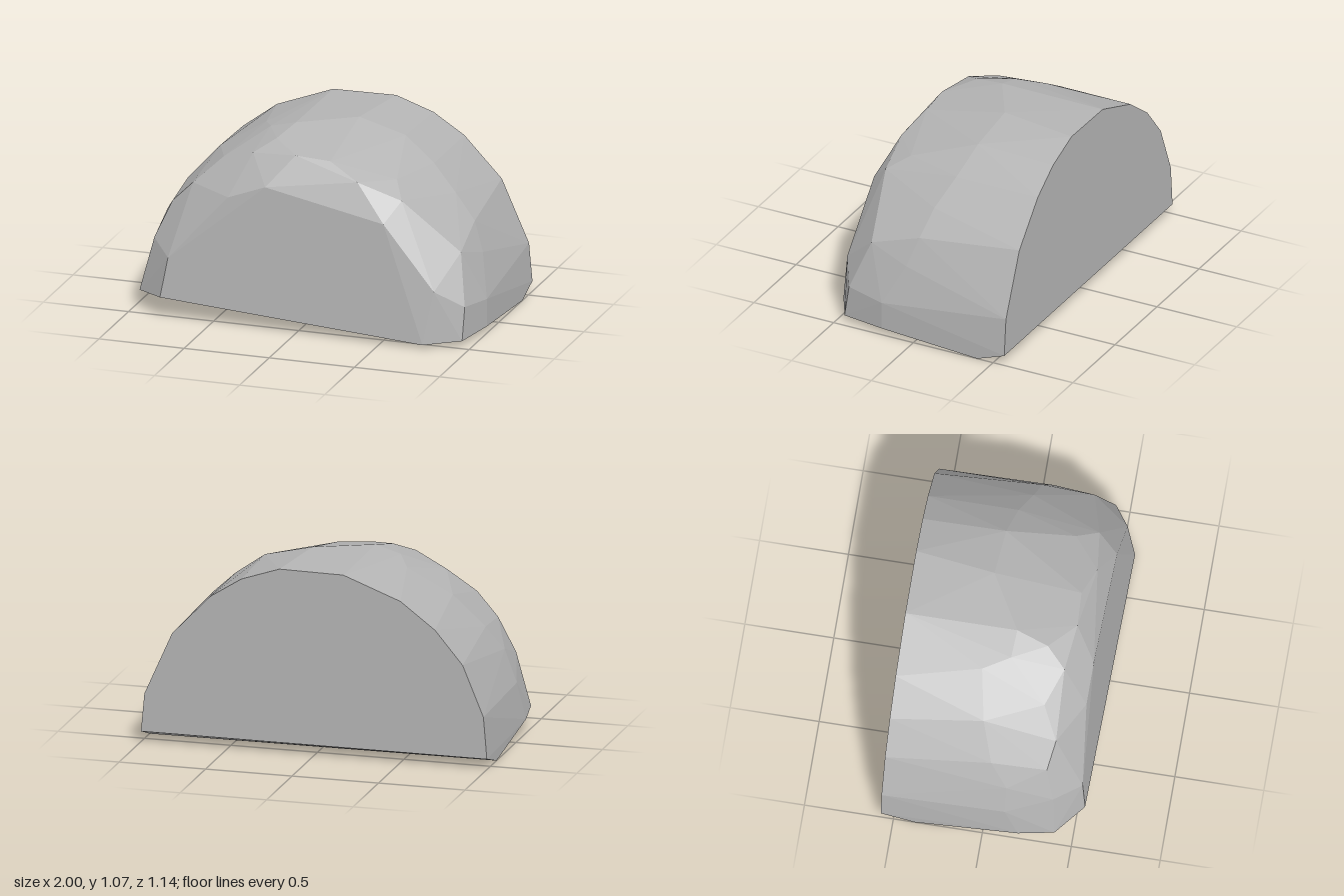
import * as THREE from 'three';
import { ConvexGeometry } from 'three/addons/geometries/ConvexGeometry.js';

export function createModel() {
  const group = new THREE.Group();
  group.name = 'boulder';
  const stone = new THREE.MeshStandardMaterial({ color: 0xb4b4b4 });
  stone.name = 'grey stone';

  // Flat rear cut: an arch of [x, y]
  const rear = [
    [-1, 0.06], [-0.98, 0.3], [-0.86, 0.59], [-0.7, 0.78], [-0.5, 0.93], [-0.17, 1.055], [0.2, 1.06],
    [0.42, 0.985], [0.6, 0.87], [0.82, 0.64], [0.98, 0.28], [1, 0.06],
  ].map(([x, y]) => [x, y, -0.57]);

  // Widest arch around the middle
  const crown = [
    [-1, 0.08, 0.2], [-0.97, 0.31, 0.12], [-0.9, 0.5, 0.12], [-0.82, 0.65, 0.02], [-0.65, 0.84, -0.05],
    [-0.4, 0.99, -0.1], [-0.32, 1.02, 0.05], [-0.17, 1.06, 0.06], [0.14, 1.07, -0.12], [0.42, 1.0, -0.1],
    [0.6, 0.87, -0.06], [0.75, 0.73, 0.0], [0.87, 0.59, 0.03], [0.935, 0.43, 0.08], [1, 0.2, 0.2],
  ];

  // Chipped shoulder between the crown and the front
  const shoulder = [
    [-0.97, 0.1, 0.4], [-0.89, 0.41, 0.38], [-0.8, 0.62, 0.33], [-0.67, 0.75, 0.36], [-0.52, 0.89, 0.27],
    [-0.32, 0.96, 0.35], [-0.22, 1.02, 0.24], [-0.06, 0.98, 0.38], [0.14, 0.965, 0.37], [0.32, 0.88, 0.43],
    [0.5, 0.87, 0.28], [0.57, 0.79, 0.4], [0.78, 0.62, 0.25], [0.89, 0.5, 0.32], [0.95, 0.22, 0.43],
  ];

  // Sloping front face
  const face = [
    [-0.8, 0.12, 0.545], [-0.76, 0.35, 0.525], [-0.42, 0.73, 0.49], [-0.2, 0.815, 0.495],
    [0.5, 0.68, 0.51], [0.8, 0.32, 0.52], [0.75, 0.02, 0.57],
  ];

  // Underside, lifted a little at the front and the rear edge
  const underside = [[-1, 0, -0.38], [1, 0, -0.4], [1, 0.04, 0.2], [0.945, 0.03, 0.46]];

  const points = [...rear, ...crown, ...shoulder, ...face, ...underside].map((p) => new THREE.Vector3(...p));
  const rock = new THREE.Mesh(new ConvexGeometry(points), stone);
  rock.name = 'rock';
  group.add(rock);
  return group;
}
